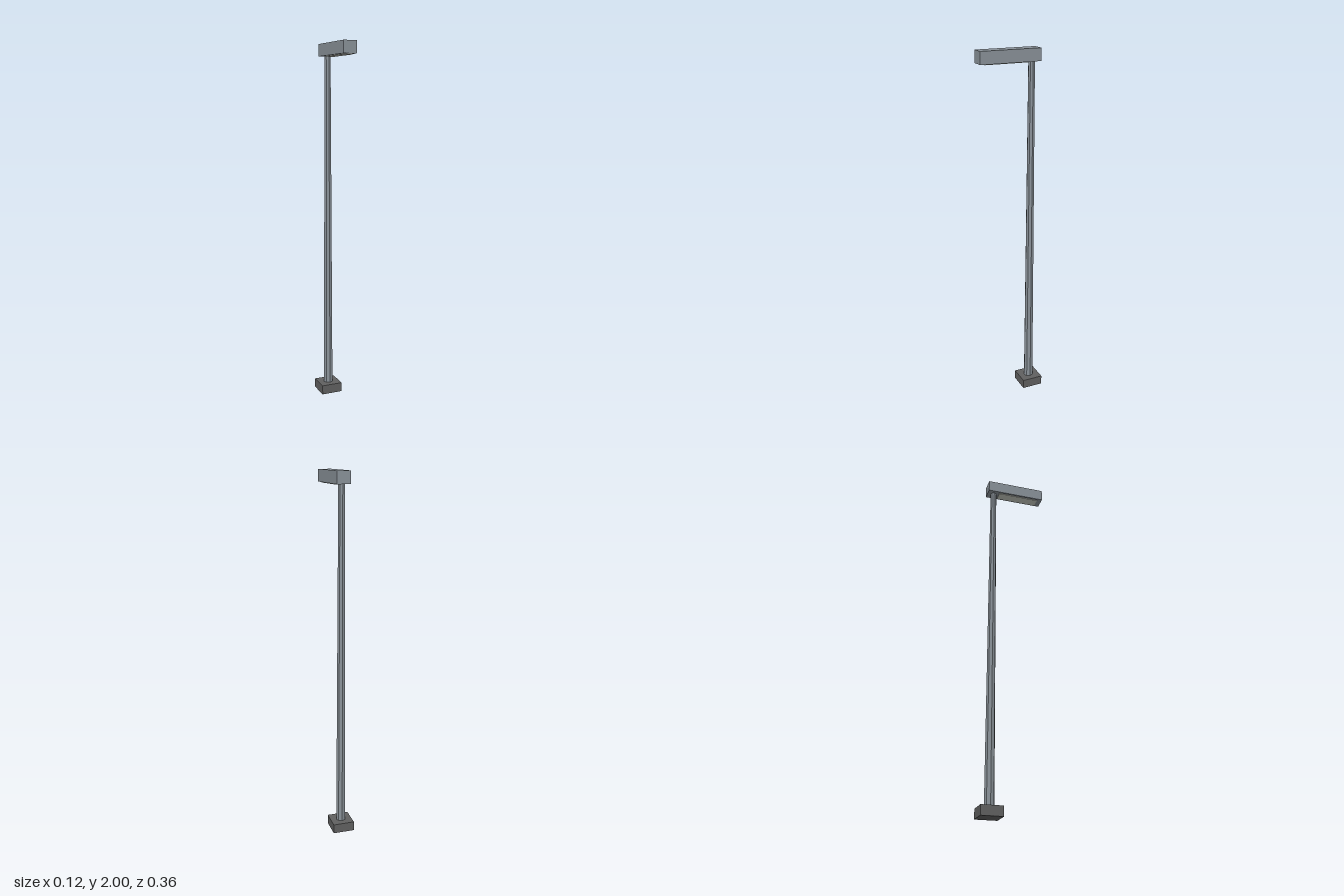
import * as THREE from 'three';

export function createModel() {
  const group = new THREE.Group();
  const material = (name, color, flatShading = false) => {
    const m = new THREE.MeshStandardMaterial({ color, flatShading });
    m.name = name;
    return m;
  };
  const metal = material('grey metal', 0x8a9299, true);
  const concrete = material('dark footing', 0x606060);
  const glass = material('lamp panel', 0xc6c9c0);

  const add = (name, geometry, mat, x, y, z) => {
    const mesh = new THREE.Mesh(geometry, mat);
    mesh.name = name;
    mesh.position.set(x, y, z);
    group.add(mesh);
  };

  const poleZ = -0.12;
  const footH = 0.053;
  const headBottom = 1.934;

  // Square footing
  add('footing', new THREE.BoxGeometry(0.12, footH, 0.12), concrete, 0, footH / 2, poleZ);

  // Tapered eight-sided pole
  const poleH = headBottom - footH + 0.01;
  add('pole', new THREE.CylinderGeometry(0.018, 0.027, poleH, 8), metal, 0, footH + poleH / 2, poleZ);

  // Lamp head reaching forward from the pole
  add('lampHead', new THREE.BoxGeometry(0.074, 2 - headBottom, 0.336), metal, 0, (2 + headBottom) / 2, 0.011);

  // Thin light panel under the head
  add('lightPanel', new THREE.BoxGeometry(0.052, 0.008, 0.24), glass, 0, headBottom, 0.03);

  return group;
}
